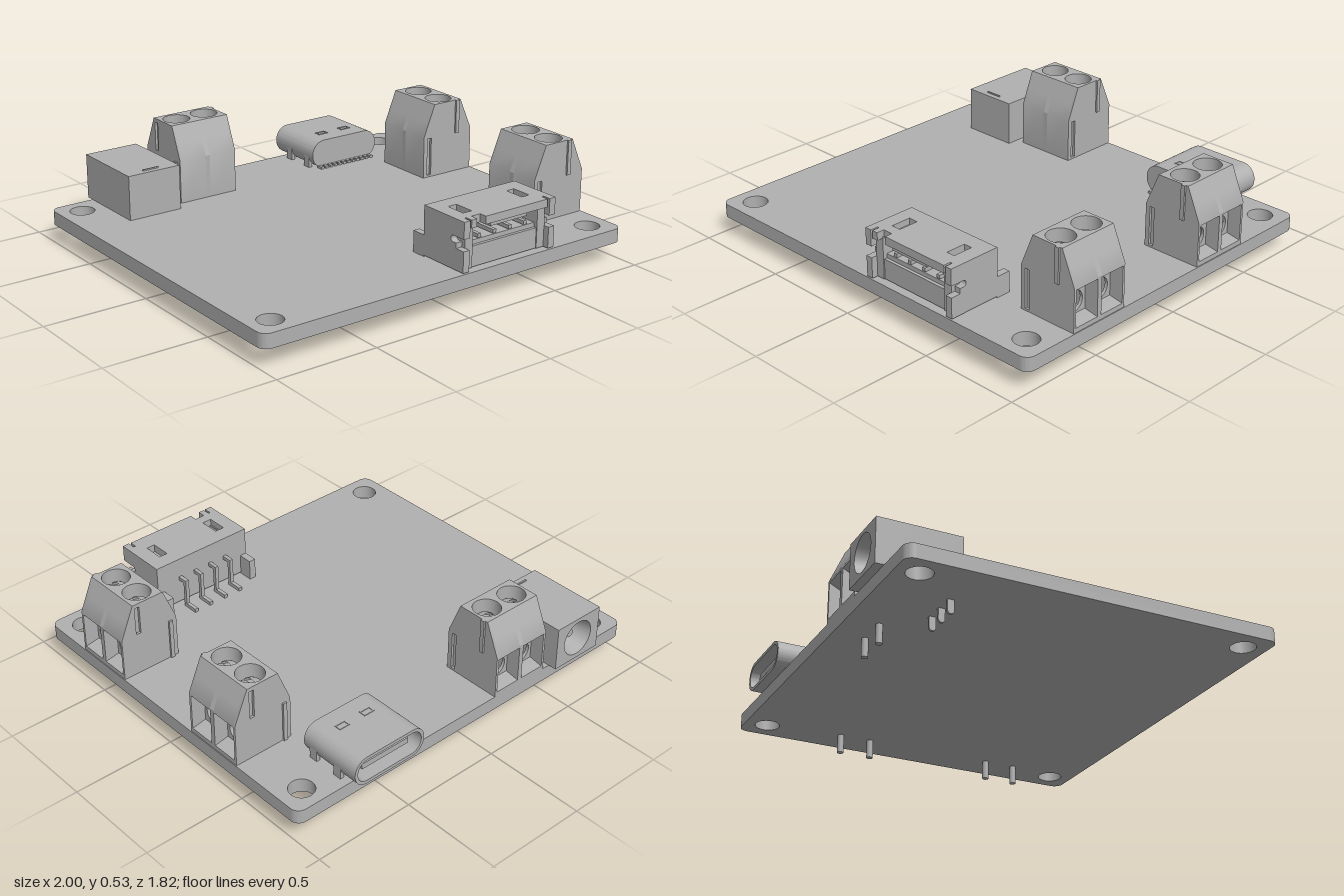
import * as THREE from 'three';
import { toCreasedNormals } from 'three/addons/utils/BufferGeometryUtils.js';

const grey = new THREE.MeshStandardMaterial({ color: 0xb0b0b0, side: THREE.DoubleSide });
grey.name = 'plain grey';
const BOARD_TOP = 0.158, BOARD_BOTTOM = 0.09;

function add(group, name, geometry, x = 0, y = 0, z = 0) {
  const mesh = new THREE.Mesh(geometry, grey);
  mesh.name = name;
  mesh.position.set(x, y, z);
  group.add(mesh);
  return mesh;
}

// Box given by its limits on each axis
function box(group, name, x0, x1, y0, y1, z0, z1) {
  return add(group, name, new THREE.BoxGeometry(x1 - x0, y1 - y0, z1 - z0),
    (x0 + x1) / 2, (y0 + y1) / 2, (z0 + z1) / 2);
}

const poly = pts => new THREE.Shape(pts.map(p => new THREE.Vector2(...p)));
const rect = (x0, x1, y0, y1) => poly([[x0, y0], [x1, y0], [x1, y1], [x0, y1]]);
const circle = (x, y, r) => new THREE.Path().absarc(x, y, r, 0, Math.PI * 2);

function roundRect(x0, x1, y0, y1, r) {
  const s = new THREE.Shape();
  s.absarc(x1 - r, y1 - r, r, 0, Math.PI / 2);
  s.absarc(x0 + r, y1 - r, r, Math.PI / 2, Math.PI);
  s.absarc(x0 + r, y0 + r, r, Math.PI, Math.PI * 1.5);
  s.absarc(x1 - r, y0 + r, r, Math.PI * 1.5, Math.PI * 2);
  s.closePath();
  return s;
}

// Extrude along z from z0 to z1
function prism(shape, z0, z1, holes = []) {
  shape.holes.push(...holes);
  const g = new THREE.ExtrudeGeometry(shape, { depth: z1 - z0, bevelEnabled: false, curveSegments: 16 });
  return toCreasedNormals(g.translate(0, 0, z0), 0.6);
}

// Extrude upwards; shape y becomes -z
const slab = (shape, y0, y1, holes) => prism(shape, y0, y1, holes).rotateX(-Math.PI / 2);

// Two-way screw terminal, wire openings facing +x
function terminalBlock(x, z, turn) {
  const g = new THREE.Group();
  g.name = 'terminalBlock';
  const profile = [[-0.15, 0], [0.15, 0], [0.15, 0.21], [0.08, 0.37], [-0.085, 0.37], [-0.15, 0.21]];
  for (const s of [-1, 1]) {
    // End wall with a groove, and the rib that fits the neighbouring groove
    const groove = s > 0 ? rect(-0.127, -0.103, 0.01, 0.2) : rect(0.045, 0.07, 0.21, 0.35);
    add(g, 'endWall', prism(poly(profile), -0.006, 0.006, [groove]), 0, 0, s * 0.149);
    const rib = s > 0 ? rect(0.047, 0.068, 0.2, 0.37) : rect(-0.125, -0.105, 0, 0.2);
    add(g, 'sideRib', prism(rib, -0.005, 0.005), 0, 0, s * 0.159);

    // Cell with a funnel cut into its front
    const w = s * 0.0775;
    add(g, 'cell', prism(poly([[-0.15, 0], [0.15, 0], [0.15, 0.022], [0.08, 0.035], [0, 0.035], [0, 0.165],
      [0.08, 0.165], [0.15, 0.2], [0.15, 0.21], [0.115, 0.29], [-0.1175, 0.29], [-0.15, 0.21]]),
      -0.0655, 0.0655), 0, 0, w);
    add(g, 'wireHole', prism(rect(-0.0655, 0.0655, 0.034, 0.166), 0, 0.015, [circle(0, 0.094, 0.05)])
      .rotateY(Math.PI / 2), 0.065, 0, w);

    // Slotted screw head
    for (const side of [-1, 1]) {
      const dome = new THREE.SphereGeometry(0.056, 16, 6, 0, Math.PI, 0, Math.PI / 2);
      dome.scale(1, 0.7, 0.9).rotateY(side * Math.PI / 2);
      add(g, 'screwHalf', dome, side * 0.01, 0.29, w);
    }
    add(g, 'solderPin', new THREE.CylinderGeometry(0.016, 0.016, BOARD_TOP, 14), 0, -BOARD_TOP / 2, w);
  }
  box(g, 'middleWall', -0.15, 0.15, 0, 0.21, -0.012, 0.012);
  add(g, 'middleWallTop', prism(poly([[-0.15, 0.21], [0.15, 0.21], [0.115, 0.29], [-0.1175, 0.29]]), -0.012, 0.012));
  add(g, 'topPlate', slab(rect(-0.085, 0.08, -0.143, 0.143), 0.29, 0.37,
    [circle(0, -0.0775, 0.065), circle(0, 0.0775, 0.065)]));
  add(g, 'backSlope', prism(poly([[-0.1175, 0.29], [-0.085, 0.29], [-0.085, 0.37]]), -0.143, 0.143));
  add(g, 'frontSlope', prism(poly([[0.08, 0.29], [0.115, 0.29], [0.08, 0.37]]), -0.143, 0.143));
  g.position.set(x, BOARD_TOP, z);
  g.rotation.y = turn;
  return g;
}

// Barrel socket opening to the back
function powerJack() {
  const g = new THREE.Group();
  g.name = 'powerJack';
  const cx = -0.637, cy = 0.268;
  box(g, 'jackBody', -0.774, -0.5, BOARD_TOP, 0.375, -0.74, -0.507);
  add(g, 'jackSleeve', prism(rect(-0.774, -0.5, BOARD_TOP, 0.375), -0.907, -0.74, [circle(cx, cy, 0.088)]));
  add(g, 'jackFunnel', new THREE.CylinderGeometry(0.05, 0.088, 0.16, 24, 1, true).rotateX(Math.PI / 2), cx, cy, -0.825);
  add(g, 'centrePin', new THREE.CylinderGeometry(0.02, 0.02, 0.12, 14).rotateX(Math.PI / 2), cx, cy, -0.8);
  box(g, 'topTab', -0.68, -0.597, 0.374, 0.381, -0.542, -0.534);
  for (const x of [-0.73, -0.64, -0.55]) {
    box(g, 'jackLeg', x - 0.006, x + 0.006, 0.04, BOARD_TOP, -0.562, -0.53);
    add(g, 'legTip', new THREE.CylinderGeometry(0.016, 0.016, 0.012, 14).rotateZ(Math.PI / 2), x, 0.04, -0.546);
  }
  return g;
}

// Small oval data socket opening to the back
function ovalSocket() {
  const g = new THREE.Group();
  g.name = 'ovalSocket';
  add(g, 'shell', prism(roundRect(0.335, 0.728, BOARD_TOP, 0.3, 0.068), -0.914, -0.66,
    [roundRect(0.351, 0.712, 0.174, 0.284, 0.053)]));
  add(g, 'shellBack', prism(roundRect(0.335, 0.728, BOARD_TOP, 0.3, 0.068), -0.66, -0.593));
  box(g, 'tongue', 0.40, 0.663, 0.215, 0.243, -0.885, -0.66);
  for (const s of [-1, 1]) {
    const x = 0.5315 + s * 0.07;
    add(g, 'springWindow', slab(rect(x - 0.028, x + 0.028, 0.675, 0.71), 0.299, 0.303,
      [rect(x - 0.022, x + 0.022, 0.681, 0.704)]));
    const e = 0.5315 + s * 0.186;
    for (const z of [-0.8, -0.65]) box(g, 'mountTab', e - 0.01, e + 0.01, BOARD_TOP, 0.225, z - 0.022, z + 0.022);
  }
  for (let i = 0; i < 12; i++) {
    const x = 0.378 + i * 0.0279;
    box(g, 'contact', x - 0.009, x + 0.009, BOARD_TOP, 0.17, -0.6, -0.567);
  }
  return g;
}

// Four-pin plug header opening to the front
function pinHeader() {
  const g = new THREE.Group();
  g.name = 'pinHeader';
  const cx = 0.301;
  box(g, 'headerBase', 0.06, 0.54, 0.165, 0.262, 0.643, 0.875);
  box(g, 'baseLip', 0.11, 0.49, 0.262, 0.283, 0.643, 0.86);
  box(g, 'headerBack', 0.06, 0.54, 0.262, 0.37, 0.643, 0.7);
  // Roof with two long slots and notched front
  add(g, 'headerRoof', slab(poly([[0.037, -0.643], [0.565, -0.643], [0.565, -0.87], [0.52, -0.87], [0.52, -0.908],
    [0.16, -0.908], [0.16, -0.87], [0.11, -0.87], [0.11, -0.908], [0.08, -0.908], [0.08, -0.87], [0.037, -0.87]]),
    0.362, 0.4, [rect(0.107, 0.155, -0.82, -0.72), rect(0.447, 0.49, -0.82, -0.72)]));
  box(g, 'roofKey', 0.195, 0.405, 0.345, 0.362, 0.7, 0.9);
  box(g, 'slotFloor', 0.1, 0.5, 0.352, 0.362, 0.7, 0.85);
  for (const s of [-1, 1]) {
    // Side wall with a round-ended slot from the front, shape x runs along z
    const wall = poly([[0.643, 0.165], [0.91, 0.165], [0.91, 0.265], [0.86, 0.265], [0.86, 0.29]]);
    wall.absarc(0.84, 0.305, 0.015, Math.PI * 1.5, Math.PI / 2, true);
    wall.lineTo(0.91, 0.32);
    wall.lineTo(0.91, 0.4);
    wall.lineTo(0.643, 0.4);
    add(g, 'sideWall', prism(wall, -0.017, 0.017).rotateY(-Math.PI / 2), cx + s * 0.247);
    box(g, 'innerCheek', cx + s * 0.21 - 0.022, cx + s * 0.21 + 0.022, 0.165, 0.37, 0.643, 0.88);
    box(g, 'anchorTab', cx + s * 0.247 - 0.017, cx + s * 0.247 + 0.017, BOARD_TOP, 0.26, 0.572, 0.645);
  }
  for (let i = 0; i < 4; i++) {
    const x = 0.168 + i * 0.0885;
    box(g, 'pin', x - 0.009, x + 0.009, 0.286, 0.304, 0.6, 0.86);
    box(g, 'pinFoot', x - 0.009, x + 0.009, BOARD_TOP, 0.176, 0.527, 0.6);
    box(g, 'pinRiser', x - 0.009, x + 0.009, BOARD_TOP, 0.304, 0.59, 0.608);
  }
  return g;
}

export function createModel() {
  const model = new THREE.Group();
  model.name = 'circuitBoard';
  const holes = [];
  for (const x of [-0.888, 0.885]) for (const z of [-0.758, 0.798]) holes.push(circle(x, -z, 0.059));
  add(model, 'board', slab(roundRect(-1, 1, -0.91, 0.866, 0.045), BOARD_BOTTOM, BOARD_TOP, holes));
  model.add(
    terminalBlock(0.846, 0.481, 0),
    terminalBlock(0.846, -0.313, 0),
    terminalBlock(-0.305, -0.716, Math.PI / 2),
    powerJack(), ovalSocket(), pinHeader());
  return model;
}
